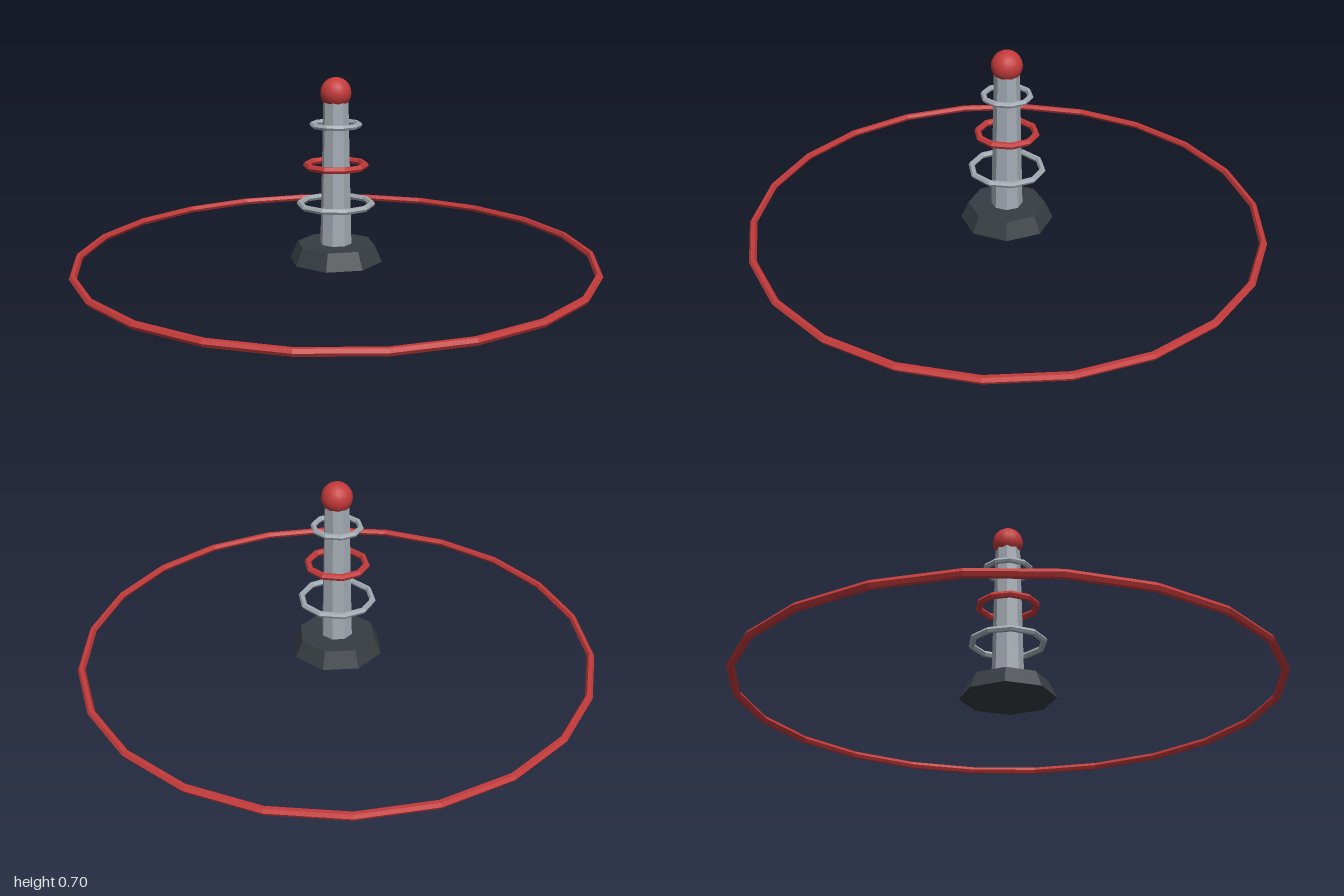
import * as THREE from 'three';

export function createModel() {
  const red = new THREE.MeshStandardMaterial({ color: 0xc43a3a });
  red.name = 'signal red';
  const grey = new THREE.MeshStandardMaterial({ color: 0xa3abb3 });
  grey.name = 'metal grey';
  const dark = new THREE.MeshStandardMaterial({ color: 0x373d43 });
  dark.name = 'dark base';

  const group = new THREE.Group();
  group.name = 'beaconTower';

  // Unshared vertices give faceted normals
  const faceted = (geometry) => {
    const flat = geometry.toNonIndexed();
    flat.computeVertexNormals();
    return flat;
  };
  const add = (name, geometry, material, y) => {
    const mesh = new THREE.Mesh(geometry, material);
    mesh.name = name;
    mesh.position.y = y;
    group.add(mesh);
  };
  // Horizontal ring; outer is the overall radius at a corner
  const addRing = (name, outer, tube, sides, material, y) => {
    const ring = new THREE.TorusGeometry(outer - tube, tube, 6, sides).rotateX(Math.PI / 2);
    add(name, faceted(ring), material, y);
  };

  // Octagonal foot and tapered mast
  add('base', faceted(new THREE.CylinderGeometry(0.15, 0.18, 0.065, 8)), dark, 0.0325);
  add('mast', faceted(new THREE.CylinderGeometry(0.048, 0.061, 0.56, 8)), grey, 0.335);

  // Rings around the mast, shrinking upward
  addRing('lowerRing', 0.15, 0.012, 10, grey, 0.22);
  addRing('middleRing', 0.125, 0.013, 10, red, 0.37);
  addRing('upperRing', 0.1, 0.011, 10, grey, 0.525);

  // Ball on top and wide ring on the ground
  add('topBall', new THREE.SphereGeometry(0.059, 16, 12), red, 0.645);
  addRing('groundRing', 1, 0.0145, 22, red, 0.0126);

  return group;
}
